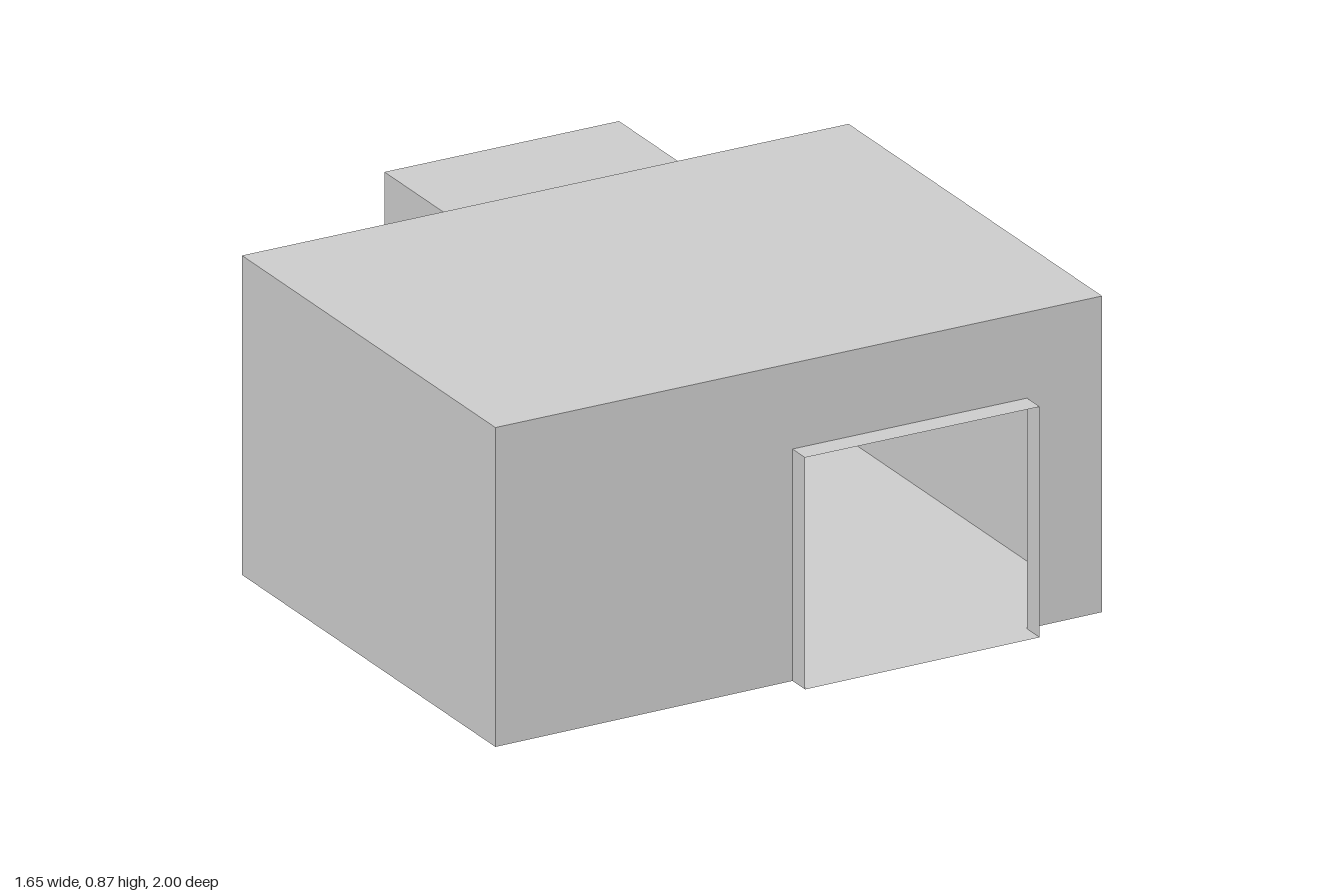
import * as THREE from 'three';

const BASE = 0.047;
// Plan limits of the hall and of the narrower duct that runs through it
const HALL = { x0: -0.825, x1: 0.825, z0: -0.265, z1: 0.94, top: 0.861 };
const DUCT = { x0: -0.017, x1: 0.621, z0: -1, z1: 1, top: 0.641 };
const RING = { x: 0.3, z: -0.635, r: 0.27 };

// Roofs fall very slightly towards +x
const roofY = (box, x) => box.top - 0.005 * x;

export function createModel() {
  const model = new THREE.Group();
  const material = new THREE.MeshStandardMaterial({ color: 0xcccccc, side: THREE.DoubleSide });

  // Thin flat sheet: a 2D outline placed in space by a rule, flipped to face outwards
  function sheet(name, points, place, flip = false, hole = null) {
    const shape = new THREE.Shape(points.map(([u, v]) => new THREE.Vector2(u, v)));
    if (hole) shape.holes.push(hole);
    const geometry = new THREE.ShapeGeometry(shape, 32);
    const p = geometry.attributes.position;
    for (let i = 0; i < p.count; i++) p.setXYZ(i, ...place(p.getX(i), p.getY(i)));
    if (flip) geometry.index.array.reverse();
    geometry.computeVertexNormals();
    const mesh = new THREE.Mesh(geometry, material);
    mesh.name = name;
    model.add(mesh);
  }

  const rect = (u0, u1, v0, v1) => [[u0, v0], [u1, v0], [u1, v1], [u0, v1]];

  // Roof and two side walls over a stretch of z
  function tunnel(name, box, z0, z1) {
    sheet(name + 'Roof', rect(box.x0, box.x1, z0, z1), (x, z) => [x, roofY(box, x), z], true);
    for (const x of [box.x0, box.x1]) {
      sheet(name + 'SideWall', rect(z0, z1, BASE, roofY(box, x)), (z, y) => [x, y, z], x === box.x1);
    }
  }

  tunnel('hall', HALL, HALL.z0, HALL.z1);
  tunnel('rearWing', DUCT, DUCT.z0, HALL.z0);
  tunnel('frontPorch', DUCT, HALL.z1, DUCT.z1);

  // Hall end walls, each with a doorway the size of the duct
  const doorwayWall = [
    [HALL.x0, BASE], [DUCT.x0, BASE], [DUCT.x0, roofY(DUCT, DUCT.x0)],
    [DUCT.x1, roofY(DUCT, DUCT.x1)], [DUCT.x1, BASE], [HALL.x1, BASE],
    [HALL.x1, roofY(HALL, HALL.x1)], [HALL.x0, roofY(HALL, HALL.x0)],
  ];
  sheet('hallFrontWall', doorwayWall, (x, y) => [x, y, HALL.z1]);
  sheet('hallBackWall', doorwayWall, (x, y) => [x, y, HALL.z0], true);

  // Closed end of the rear wing; the porch stays open at the front
  sheet('rearWingEndWall', [
    [DUCT.x0, BASE], [DUCT.x1, BASE],
    [DUCT.x1, roofY(DUCT, DUCT.x1)], [DUCT.x0, roofY(DUCT, DUCT.x0)],
  ], (x, y) => [x, y, DUCT.z0], true);

  // One floor under all three rooms, with a round hole in the rear wing
  const hole = new THREE.Path().absarc(RING.x, RING.z, RING.r, 0, Math.PI * 2, true);
  sheet('floor', [
    [DUCT.x0, DUCT.z0], [DUCT.x1, DUCT.z0], [DUCT.x1, HALL.z0], [HALL.x1, HALL.z0],
    [HALL.x1, HALL.z1], [DUCT.x1, HALL.z1], [DUCT.x1, DUCT.z1], [DUCT.x0, DUCT.z1],
    [DUCT.x0, HALL.z1], [HALL.x0, HALL.z1], [HALL.x0, HALL.z0], [DUCT.x0, HALL.z0],
  ], (x, z) => [x, BASE, z], false, hole);

  // Open collar below the hole
  const collar = new THREE.Mesh(
    new THREE.CylinderGeometry(RING.r, RING.r, BASE, 64, 1, true), material);
  collar.name = 'floorCollar';
  collar.position.set(RING.x, BASE / 2, RING.z);
  model.add(collar);

  return model;
}
